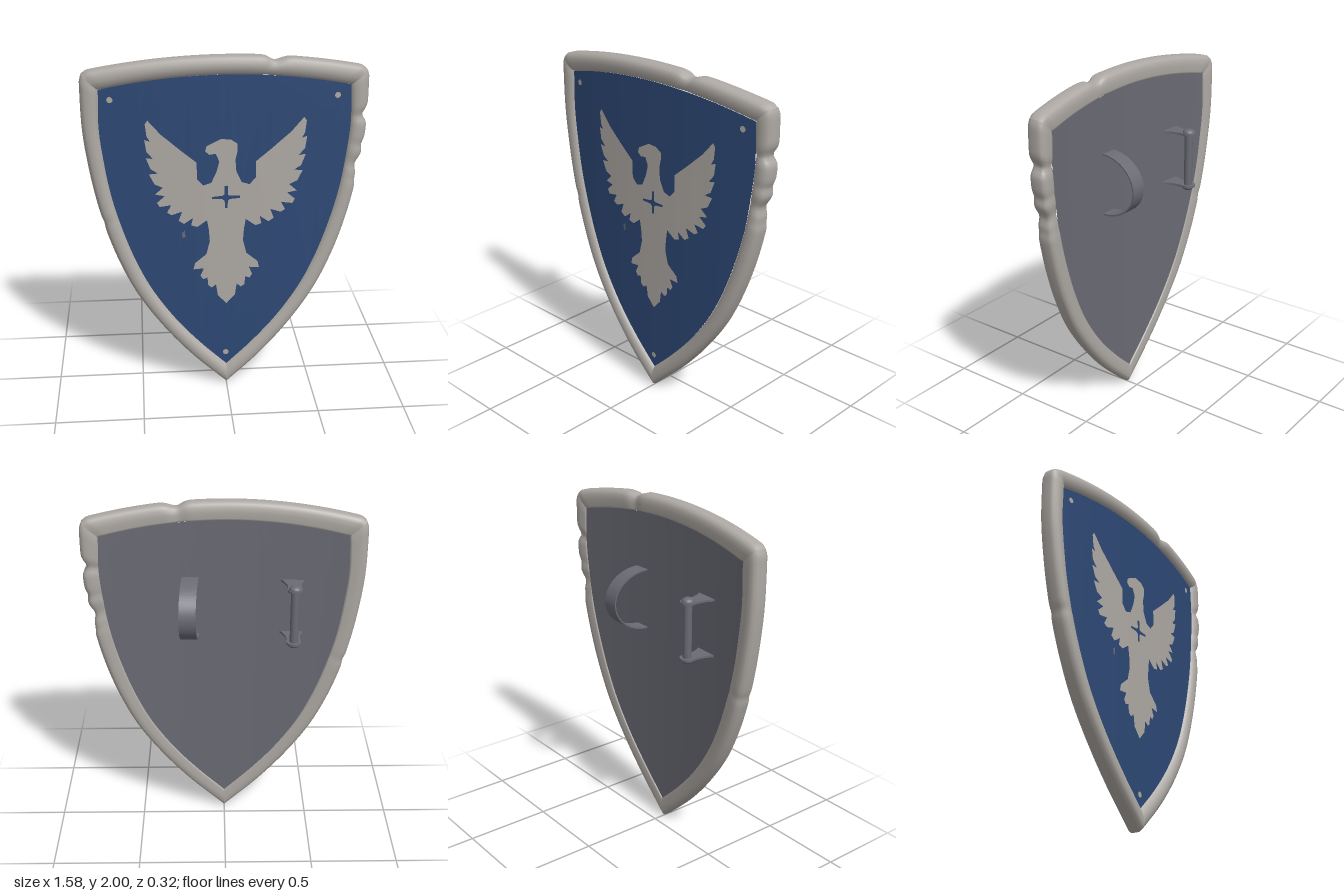
import * as THREE from 'three';

const paint = (name, color) => Object.assign(new THREE.MeshStandardMaterial({ color }), { name });
const V2 = (p) => new THREE.Vector2(p[0], p[1]);
const mirror = (pts) => pts.map(([x, y]) => [-x, y]).reverse();

// Middle surface of the shield: a gentle bow around the vertical axis
const bow = (x) => 0.105 - 0.083 * x * x;

// Smooth curve through a few points, sampled evenly in its parameter
function curve(pts, n) {
  const c = new THREE.CatmullRomCurve3(pts.map(([x, y]) => new THREE.Vector3(x, y, 0)));
  return c.getPoints(n).map((p) => [p.x, p.y]);
}
const arc = (half, top, drop, n) => Array.from({ length: n + 1 }, (_, i) => {
  const t = (i / n) * 2 - 1;
  return [half * t, top - drop * t * t];
});

// Flat outline laid on the bowed surface, cut finely enough to follow it
function bowedPlate(name, pts, offset, material, { back = false, hole = null } = {}) {
  const shape = new THREE.Shape(pts.map(V2));
  if (hole) shape.holes.push(new THREE.Path(hole.map(V2)));
  const flat = new THREE.ShapeGeometry(shape).toNonIndexed().attributes.position;
  const pos = [], nor = [];
  const cut = (t) => {
    const spans = [0, 1, 2].map((i) => Math.abs(t[i][0] - t[(i + 1) % 3][0]));
    const k = spans.indexOf(Math.max(...spans));
    if (spans[k] > 0.07) {
      const a = t[k], b = t[(k + 1) % 3], c = t[(k + 2) % 3];
      const m = [(a[0] + b[0]) / 2, (a[1] + b[1]) / 2];
      cut([a, m, c]);
      cut([m, b, c]);
      return;
    }
    for (const [x, y] of back ? [t[0], t[2], t[1]] : t) {
      const n = new THREE.Vector3(0.166 * x, 0, 1).normalize().multiplyScalar(back ? -1 : 1);
      pos.push(x, y, bow(x) + offset);
      nor.push(n.x, n.y, n.z);
    }
  };
  for (let i = 0; i < flat.count; i += 3) {
    cut([0, 1, 2].map((j) => [flat.getX(i + j), flat.getY(i + j)]));
  }
  const g = new THREE.BufferGeometry();
  g.setAttribute('position', new THREE.Float32BufferAttribute(pos, 3));
  g.setAttribute('normal', new THREE.Float32BufferAttribute(nor, 3));
  const mesh = new THREE.Mesh(g, material);
  mesh.name = name;
  return mesh;
}

// Battle dents in the rim: x, y, radius, depth as a share of the rim width
const dents = [
  [0.27, 1.98, 0.045, 0.25], [0.79, 1.65, 0.035, 0.3], [0.77, 1.47, 0.03, 0.12],
  [0.75, 1.35, 0.05, 0.3], [0.735, 1.27, 0.03, 0.1], [-0.69, 1.05, 0.03, 0.06],
  [0.79, 1.91, 0.025, 0.12], [-0.79, 1.91, 0.025, 0.12],
];

// Rim cross-section: share of the way inward, height off the middle surface
const section = [
  [1.02, 0.02], [0.95, 0.034], [0.8, 0.047], [0.55, 0.055], [0.28, 0.053], [0.1, 0.043], [0, 0.022],
  [0, -0.025], [0.1, -0.043], [0.28, -0.052], [0.55, -0.055], [0.9, -0.052], [1.0, -0.05], [1.02, -0.038],
];

// One run of the rim between an outer and an inner edge
function rimRun(name, outer, inner, material) {
  const pos = [], index = [], m = section.length;
  outer.forEach(([px, py], i) => {
    const [qx, qy] = inner[i];
    let dent = 0;
    for (const [x, y, r, d] of dents) dent += d * Math.exp(-((px - x) ** 2 + (py - y) ** 2) / (r * r));
    section.forEach(([u, w], j) => {
      const s = dent + u * (1 - dent);
      const x = px + (qx - px) * s, y = py + (qy - py) * s;
      pos.push(x, y, bow(x) + w * (1 - dent * 0.7));
      if (i < outer.length - 1 && j < m - 1) {
        const a = i * m + j, b = a + m;
        index.push(a, b, b + 1, a, b + 1, a + 1);
      }
    });
  });
  const g = new THREE.BufferGeometry();
  g.setAttribute('position', new THREE.Float32BufferAttribute(pos, 3));
  g.setIndex(index);
  g.computeVertexNormals();
  const mesh = new THREE.Mesh(g, material);
  mesh.name = name;
  return mesh;
}

export function createModel() {
  const model = new THREE.Group();
  model.name = 'shield';
  const pale = paint('pale metal', 0xaea9a4);
  const blue = paint('blue paint', 0x2d4875);
  const iron = paint('dark iron', 0x6a6b74);

  // Rim
  const outer = curve([[0.79, 1.91], [0.787, 1.6], [0.765, 1.4], [0.73, 1.2], [0.68, 1.0], [0.61, 0.8],
    [0.515, 0.6], [0.38, 0.4], [0.21, 0.2], [0, 0]], 126);
  const inner = curve([[0.69, 1.82], [0.695, 1.6], [0.677, 1.42], [0.645, 1.22], [0.595, 1.03], [0.525, 0.83],
    [0.435, 0.64], [0.3, 0.44], [0.15, 0.27], [0, 0.125]], 126);
  const innerTop = arc(0.69, 1.9, 0.08, 100);
  model.add(
    rimRun('topRim', arc(0.79, 2, 0.09, 100), innerTop, pale),
    rimRun('leftRim', outer, inner, pale),
    rimRun('rightRim', mirror(outer), mirror(inner), pale),
  );

  // Front and back of the board
  const board = [...innerTop, ...inner.slice(1), ...mirror(inner).slice(1, -1)];
  model.add(
    bowedPlate('frontPanel', board, 0.028, blue),
    bowedPlate('backPanel', board, -0.045, iron, { back: true }),
  );

  // Painted bird: one wing and half the body, mirrored, plus the turned head
  const half = [
    [0.055, 1.35], [0.085, 1.285], [0.13, 1.27], [0.165, 1.31], [0.165, 1.405], [0.25, 1.475], [0.36, 1.57],
    [0.43, 1.65], [0.445, 1.63], [0.437, 1.56], [0.42, 1.53], [0.45, 1.54], [0.44, 1.47], [0.405, 1.43],
    [0.445, 1.435], [0.42, 1.37], [0.38, 1.345], [0.43, 1.34], [0.4, 1.28], [0.355, 1.26], [0.48, 1.31],
    [0.46, 1.26], [0.4, 1.22], [0.345, 1.21], [0.39, 1.17], [0.375, 1.145], [0.31, 1.155], [0.335, 1.11],
    [0.31, 1.095], [0.25, 1.115], [0.27, 1.06], [0.24, 1.04], [0.19, 1.075], [0.2, 1.03], [0.165, 1.02],
    [0.11, 1.06], [0.1, 1.0], [0.095, 0.93], [0.115, 0.85], [0.18, 0.795], [0.19, 0.755], [0.13, 0.76],
    [0.15, 0.715], [0.135, 0.69], [0.11, 0.7], [0.105, 0.65], [0.085, 0.635], [0.06, 0.655], [0.05, 0.585],
  ];
  // Remove the one feather tip that would overlap its neighbour
  const wing = half.filter(([x]) => x < 0.455);
  const head = [
    [-0.04, 1.41], [-0.06, 1.455], [-0.095, 1.45], [-0.118, 1.47], [-0.11, 1.5], [-0.08, 1.515],
    [-0.03, 1.54], [0.025, 1.535], [0.062, 1.51], [0.062, 1.47], [0.05, 1.42],
  ];
  const cross = [
    [0.008, 1.265], [0.008, 1.21], [0.02, 1.205], [0.075, 1.203], [0.075, 1.19], [0.02, 1.185], [0.008, 1.175],
    [0.006, 1.13], [-0.008, 1.13], [-0.01, 1.175], [-0.022, 1.185], [-0.08, 1.188], [-0.08, 1.2],
    [-0.022, 1.206], [-0.01, 1.215], [-0.01, 1.265],
  ];
  model.add(bowedPlate('paintedBird', [...head, ...wing, [0, 0.53], ...mirror(wing)], 0.031, pale, { hole: cross }));

  // Rivets and a scratch in the paint
  for (const [x, y] of [[-0.63, 1.765], [0.615, 1.765], [-0.003, 0.205]]) {
    const ring = Array.from({ length: 14 }, (_, i) => {
      const a = (i / 14) * Math.PI * 2;
      return [x + 0.017 * Math.cos(a), y + 0.017 * Math.sin(a)];
    });
    model.add(bowedPlate('rivet', ring, 0.031, pale));
  }
  model.add(bowedPlate('scratch', [[-0.253, 0.985], [-0.235, 1.0], [-0.234, 0.96], [-0.25, 0.95]], 0.031, iron));

  // Hand grip: bar, flared brackets and domed end caps
  const grip = new THREE.Group();
  grip.name = 'handGrip';
  const add = (name, geometry, x, y, z) => {
    const mesh = new THREE.Mesh(geometry, iron);
    mesh.name = name;
    mesh.position.set(x, y, z);
    grip.add(mesh);
    return mesh;
  };
  add('gripBar', new THREE.CylinderGeometry(0.024, 0.024, 0.34, 20), 0, 1.385, -0.088);
  const flare = new THREE.Shape();
  flare.absarc(0, 0, 0.042, 0, Math.PI, false);
  flare.quadraticCurveTo(-0.028, -0.08, -0.075, -0.145);
  flare.lineTo(0.075, -0.145);
  flare.quadraticCurveTo(0.028, -0.08, 0.042, 0);
  for (const side of [1, -1]) {
    const y = 1.385 + side * 0.16;
    const plate = new THREE.ExtrudeGeometry(flare, { depth: 0.012, bevelEnabled: false, curveSegments: 12 });
    add('gripBracket', plate.translate(0, 0, -0.006).rotateX(-Math.PI / 2), 0, y, -0.088);
    const cap = new THREE.SphereGeometry(0.036, 20, 8, 0, Math.PI * 2, 0, Math.PI / 2).scale(1, 0.65, 1);
    if (side < 0) cap.rotateX(Math.PI);
    add('gripCap', cap, 0, y + side * 0.006, -0.088);
  }
  grip.position.x = -0.39;
  model.add(grip);

  // Arm strap: a bent band, leaning slightly outward as it leaves the board
  const band = new THREE.Shape();
  band.absellipse(0, 0, 0.22, 0.18, -Math.PI / 2, Math.PI / 2, false, 0);
  band.absellipse(0, 0, 0.212, 0.172, Math.PI / 2, -Math.PI / 2, true, 0);
  const strap = new THREE.ExtrudeGeometry(band, { depth: 0.095, bevelEnabled: false, curveSegments: 28 });
  strap.rotateY(Math.PI / 2).translate(0.142, 1.387, 0.055);
  const p = strap.attributes.position;
  for (let i = 0; i < p.count; i++) p.setX(i, p.getX(i) + (0.055 - p.getZ(i)) * 0.08);
  strap.computeVertexNormals();
  const strapMesh = new THREE.Mesh(strap, iron);
  strapMesh.name = 'armStrap';
  model.add(strapMesh);

  return model;
}
